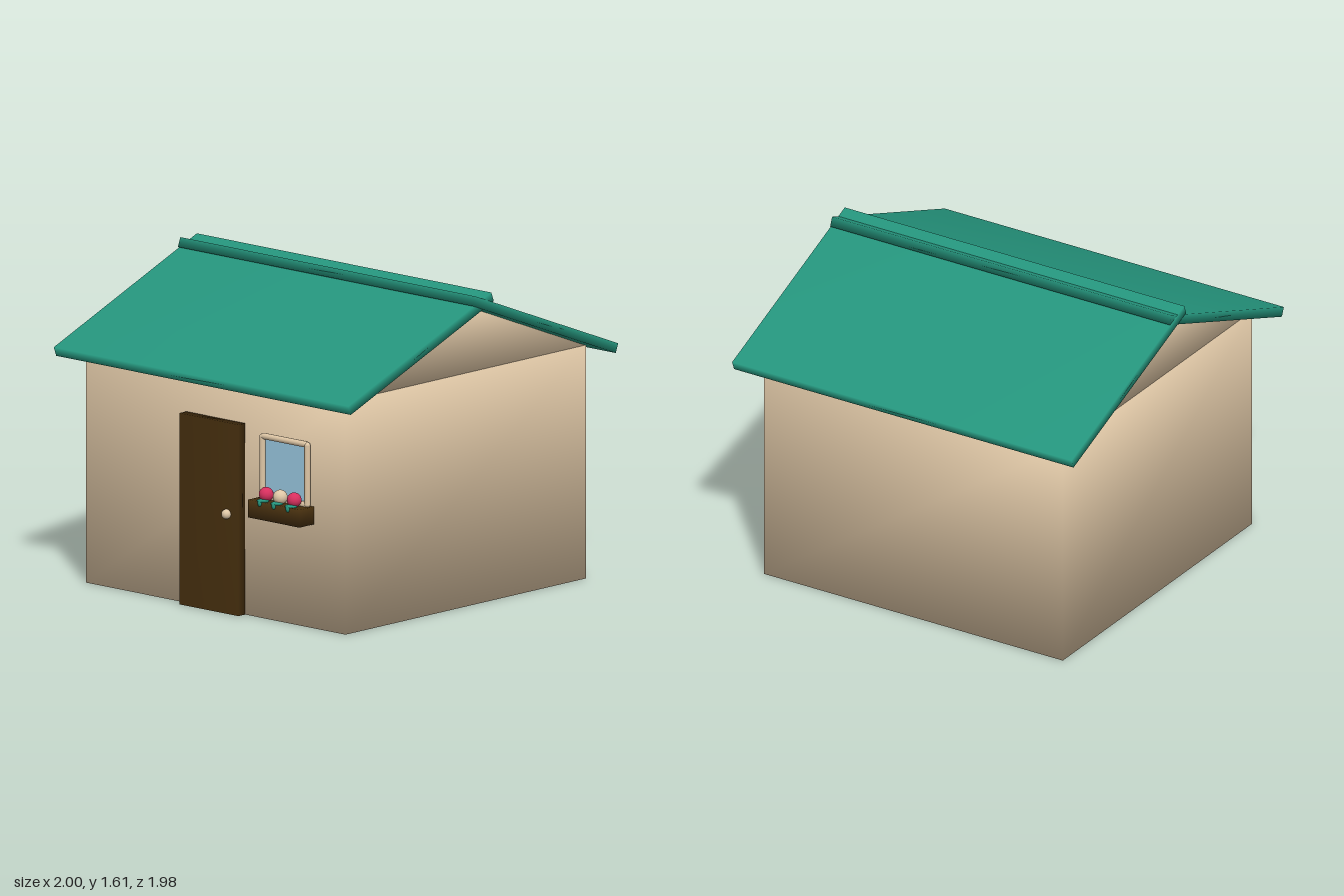
import * as THREE from 'three';
import { mergeVertices } from 'three/addons/utils/BufferGeometryUtils.js';

const material = (name, color) => {
  const m = new THREE.MeshStandardMaterial({ color });
  m.name = name;
  return m;
};

// Shares corner vertices so normals run smoothly around the edges
function soften(geometry) {
  geometry.deleteAttribute('normal');
  geometry.deleteAttribute('uv');
  const merged = mergeVertices(geometry, 1e-4);
  merged.clearGroups();
  merged.computeVertexNormals();
  return merged;
}

export function createModel() {
  const house = new THREE.Group();
  house.name = 'house';

  const plaster = material('plaster', 0xdfc7a6);
  const roofGreen = material('roofGreen', 0x25957d);
  const wood = material('darkWood', 0x49310f);
  const glass = material('glass', 0x9ccbe4);
  const pink = material('pinkPetals', 0xd8305f);

  const add = (name, geometry, mat, x, y, z, parent = house) => {
    const mesh = new THREE.Mesh(geometry, mat);
    mesh.name = name;
    mesh.position.set(x, y, z);
    parent.add(mesh);
    return mesh;
  };
  const box = (w, h, d) => soften(new THREE.BoxGeometry(w, h, d));

  // Walls and the gable prism under the roof
  add('walls', box(1.76, 1.19, 1.76), plaster, 0, 0.595, 0);
  const triangle = new THREE.Shape([
    new THREE.Vector2(-0.88, 0), new THREE.Vector2(0.88, 0), new THREE.Vector2(0, 0.35),
  ]);
  const prism = new THREE.ExtrudeGeometry(triangle, { depth: 1.76, bevelEnabled: false });
  prism.translate(0, 0, -0.88).rotateY(Math.PI / 2);
  add('gable', soften(prism), plaster, 0, 1.19, 0);

  // Two roof slabs crossing at the ridge
  for (const side of [1, -1]) {
    const slab = add(side > 0 ? 'frontRoof' : 'backRoof',
      box(side > 0 ? 1.998 : 2, 0.05, 1.125), roofGreen, 0, 1.381, side * 0.455);
    slab.rotation.x = side * 0.373;
  }

  // Door with round knob
  add('door', box(0.4, 0.975, 0.05), wood, 0, 0.4875, 0.905);
  add('doorKnob', new THREE.SphereGeometry(0.025, 20, 14), plaster, 0.125, 0.51, 0.938);

  // Window with rounded frame bars
  const windowGroup = new THREE.Group();
  windowGroup.name = 'window';
  house.add(windowGroup);
  add('pane', new THREE.BoxGeometry(0.3, 0.33, 0.009), glass, 0.49, 0.775, 0.8845, windowGroup);
  for (const side of [-1, 1]) {
    add('frameUpright', new THREE.CapsuleGeometry(0.016, 0.3, 6, 12), plaster,
      0.49 + side * 0.152, 0.782, 0.902, windowGroup);
    const rail = add('frameRail', new THREE.CapsuleGeometry(0.016, 0.28, 6, 12), plaster,
      0.49, 0.782 + side * 0.154, 0.902, windowGroup);
    rail.rotation.z = Math.PI / 2;
  }

  // Planter with three flowers
  add('planter', box(0.35, 0.09, 0.105), wood, 0.49, 0.575, 0.9325);
  [pink, plaster, pink].forEach((petals, i) => {
    const flower = new THREE.Group();
    flower.name = 'flower';
    flower.position.set(0.395 + i * 0.095, 0.62, 0.937);
    house.add(flower);
    add('blossom', new THREE.SphereGeometry(0.037, 20, 14), petals, 0, 0.032, 0, flower);
    const leaf = new THREE.SphereGeometry(1, 12, 8);
    add('leaf', leaf, roofGreen, 0, 0.002, 0.024, flower).scale.set(0.033, 0.01, 0.03);
    add('hangingLeaf', leaf, roofGreen, 0, -0.007, 0.048, flower).scale.set(0.012, 0.017, 0.008);
  });

  return house;
}
